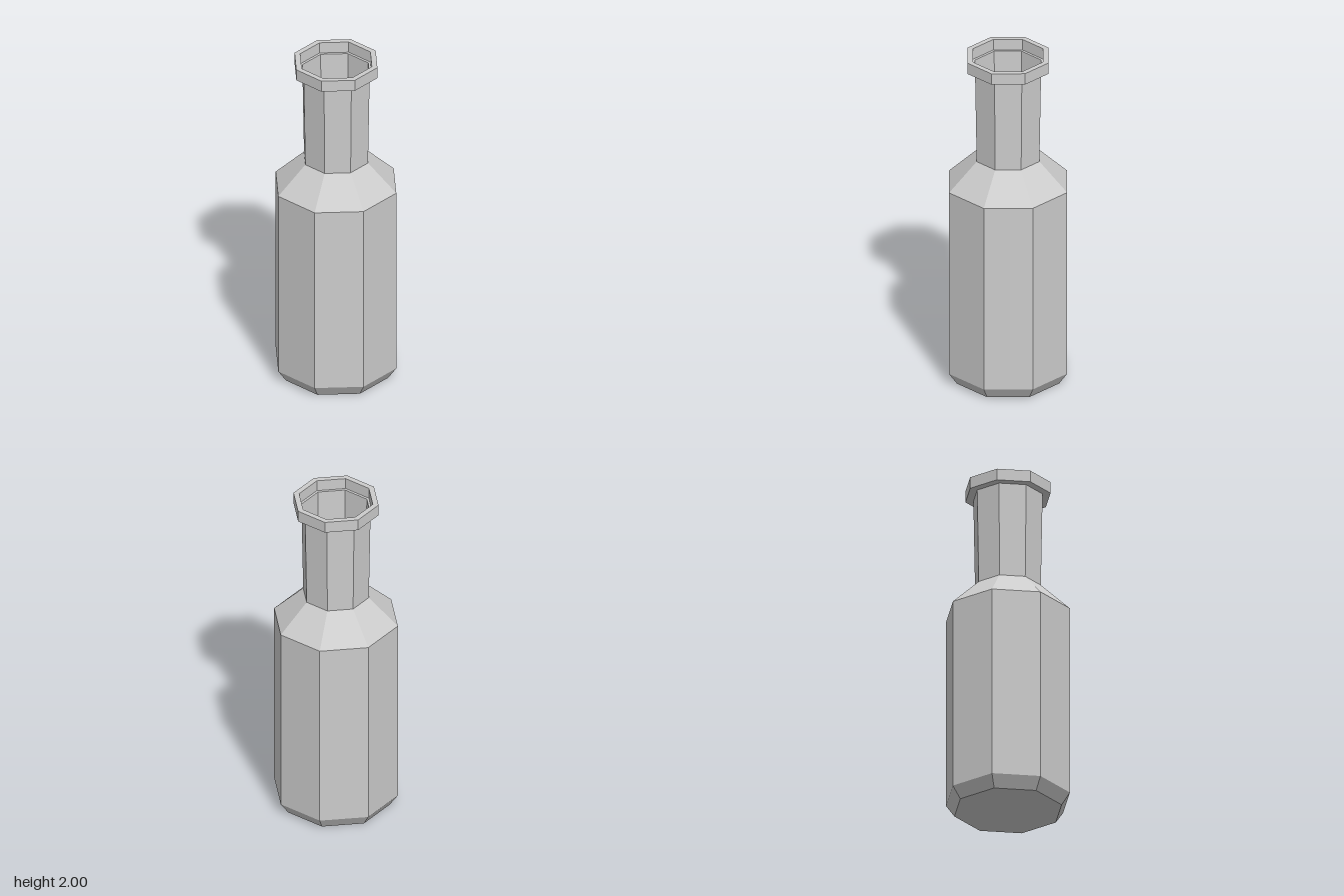
import * as THREE from 'three';

const SIDES = 8;

// Faceted octagonal ring surface from a [radius, height] profile
function facetedLathe(name, profile, material) {
  const points = profile.map(([r, y]) => new THREE.Vector2(r, y));
  const geometry = new THREE.LatheGeometry(points, SIDES).toNonIndexed();
  geometry.computeVertexNormals();
  const mesh = new THREE.Mesh(geometry, material);
  mesh.name = name;
  return mesh;
}

export function createModel() {
  const grey = new THREE.MeshStandardMaterial({ color: 0xcccccc, side: THREE.DoubleSide });
  grey.name = 'grey';

  const bottle = new THREE.Group();
  bottle.name = 'bottle';

  // Flat base, bevelled foot, straight wall and sloping shoulder
  bottle.add(facetedLathe('body', [
    [0, 0], [0.31, 0], [0.358, 0.07], [0.358, 1.207], [0.19, 1.37],
  ], grey));

  // Open, thin neck that widens slightly upwards
  bottle.add(facetedLathe('neck', [[0.19, 1.37], [0.2, 1.932]], grey));

  // Collar around the mouth, with a small ledge inside
  bottle.add(facetedLathe('collar', [
    [0.2, 1.932], [0.246, 1.932], [0.246, 2], [0.213, 2], [0.213, 1.934],
  ], grey));

  return bottle;
}
